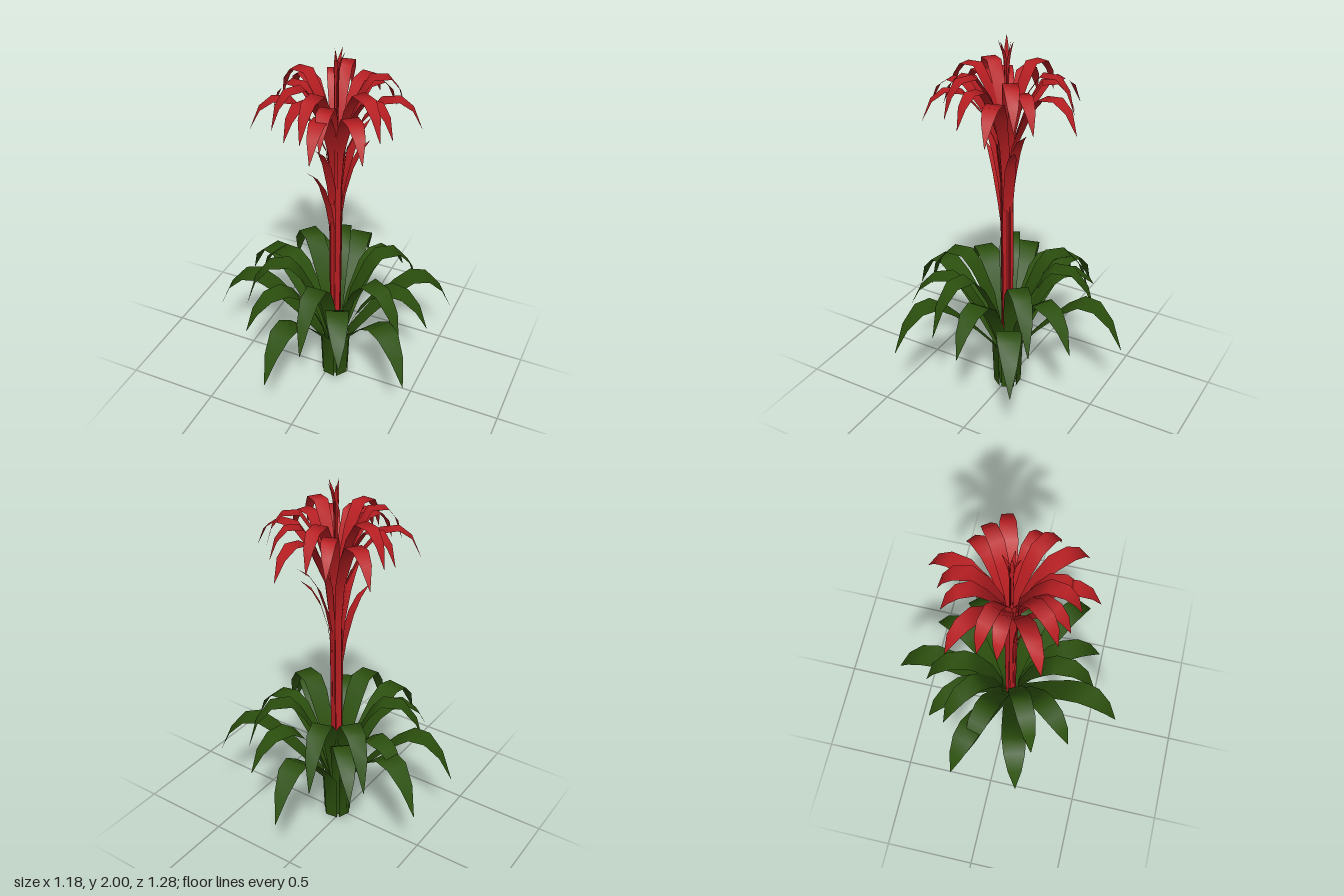
import * as THREE from 'three';

const CENTER_X = 0.035;
const STEP = 65.3; // turn between neighbouring leaves of a whorl, in degrees

// Ribbon leaf from rows of [radius, height, width], aimed at azimuth deg (0 = +x, 90 = +z)
function leafGeometry(rows, deg) {
  const a = THREE.MathUtils.degToRad(deg);
  const c = Math.cos(a), s = Math.sin(a);
  const pos = [], index = [];
  rows.forEach(([r, y, w], i) => {
    for (const side of [-0.5, 0.5]) {
      pos.push(CENTER_X + c * r - s * w * side, y, s * r + c * w * side);
    }
    if (i) {
      const k = 2 * i;
      index.push(k - 2, k - 1, k, k - 1, k + 1, k);
    }
  });
  const g = new THREE.BufferGeometry();
  g.setAttribute('position', new THREE.Float32BufferAttribute(pos, 3));
  g.setIndex(index);
  g.computeVertexNormals();
  return g;
}

export function createModel() {
  const model = new THREE.Group();
  model.name = 'bromeliad';
  const green = new THREE.MeshStandardMaterial({ color: 0x2c500e, side: THREE.DoubleSide });
  green.name = 'leaf green';
  const red = new THREE.MeshStandardMaterial({ color: 0xb81e22, side: THREE.DoubleSide });
  red.name = 'bract red';

  function addLeaf(parent, name, rows, deg, material) {
    const mesh = new THREE.Mesh(leafGeometry(rows, deg), material);
    mesh.name = name;
    parent.add(mesh);
  }

  // Six equal leaves winding round the axis from a starting azimuth
  function whorl(name, rows, start, material) {
    const group = new THREE.Group();
    group.name = name;
    for (let i = 0; i < 6; i++) addLeaf(group, name + 'Leaf', rows, start + i * STEP, material);
    model.add(group);
  }

  // Long, low outer leaves
  whorl('outerRosette', [
    [0.066, 0, 0.07], [0.075, 0.27, 0.08], [0.2, 0.43, 0.105], [0.33, 0.57, 0.125],
    [0.42, 0.635, 0.13], [0.505, 0.625, 0.118], [0.585, 0.54, 0.075], [0.648, 0.395, 0.003],
  ], -161.5, green);

  // Middle leaves
  whorl('middleRosette', [
    [0.046, 0, 0.045], [0.058, 0.29, 0.065], [0.13, 0.47, 0.095], [0.23, 0.63, 0.12],
    [0.3, 0.68, 0.12], [0.395, 0.67, 0.105], [0.47, 0.6, 0.067], [0.525, 0.485, 0.003],
  ], -131.5, green);

  // Tall inner leaves
  whorl('innerRosette', [
    [0.036, 0, 0.036], [0.046, 0.3, 0.054], [0.1, 0.53, 0.085], [0.185, 0.7, 0.11],
    [0.245, 0.77, 0.11], [0.35, 0.765, 0.1], [0.43, 0.665, 0.068], [0.48, 0.5, 0.003],
  ], -107.5, green);

  // Upright bracts branching off the stalk: [azimuth, tip radius, tip height]
  const bracts = new THREE.Group();
  bracts.name = 'stalkBracts';
  for (const [deg, tip, top] of [[116, 0.19, 1.4], [103, 0.165, 1.53], [-57, 0.2, 1.57], [-42, 0.175, 1.48]]) {
    addLeaf(bracts, 'stalkBract', [
      [0.022, 0, 0.03], [0.026, top - 0.4, 0.044], [tip * 0.24, top - 0.27, 0.056],
      [tip * 0.46, top - 0.13, 0.056], [tip * 0.7, top - 0.05, 0.04], [tip, top, 0.002],
    ], deg, red);
  }
  model.add(bracts);

  // Lower crown: long arching bracts that also form the stalk
  whorl('lowerCrown', [
    [0.026, 0, 0.028], [0.029, 1.25, 0.036], [0.05, 1.46, 0.05], [0.13, 1.64, 0.07],
    [0.21, 1.742, 0.085], [0.3, 1.755, 0.078], [0.363, 1.71, 0.055], [0.411, 1.605, 0.002],
  ], 83, red);

  // Middle crown
  whorl('middleCrown', [
    [0.02, 0, 0.026], [0.024, 1.3, 0.034], [0.042, 1.5, 0.046], [0.11, 1.68, 0.068],
    [0.17, 1.775, 0.078], [0.245, 1.78, 0.072], [0.295, 1.725, 0.05], [0.33, 1.625, 0.002],
  ], 113, red);

  // Upper crown: highest bracts
  whorl('upperCrown', [
    [0.014, 0, 0.02], [0.018, 1.35, 0.03], [0.035, 1.55, 0.042], [0.105, 1.73, 0.065],
    [0.17, 1.83, 0.075], [0.255, 1.825, 0.072], [0.305, 1.76, 0.05], [0.337, 1.65, 0.002],
  ], 129, red);

  // Slim central spike with small flared tips: [azimuth, tip radius, tip height]
  const spike = new THREE.Group();
  spike.name = 'topSpike';
  for (const [deg, tip, top] of [[10, 0.045, 1.98], [75, 0.042, 1.975], [150, 0.012, 2], [230, 0.02, 1.97], [285, 0.044, 1.98]]) {
    addLeaf(spike, 'spikeBract', [
      [0.006, 0, 0.014], [0.007, 1.8, 0.018], [0.01, 1.88, 0.022],
      [tip * 0.5, top - 0.05, 0.018], [tip, top, 0.002],
    ], deg, red);
  }
  model.add(spike);

  return model;
}
